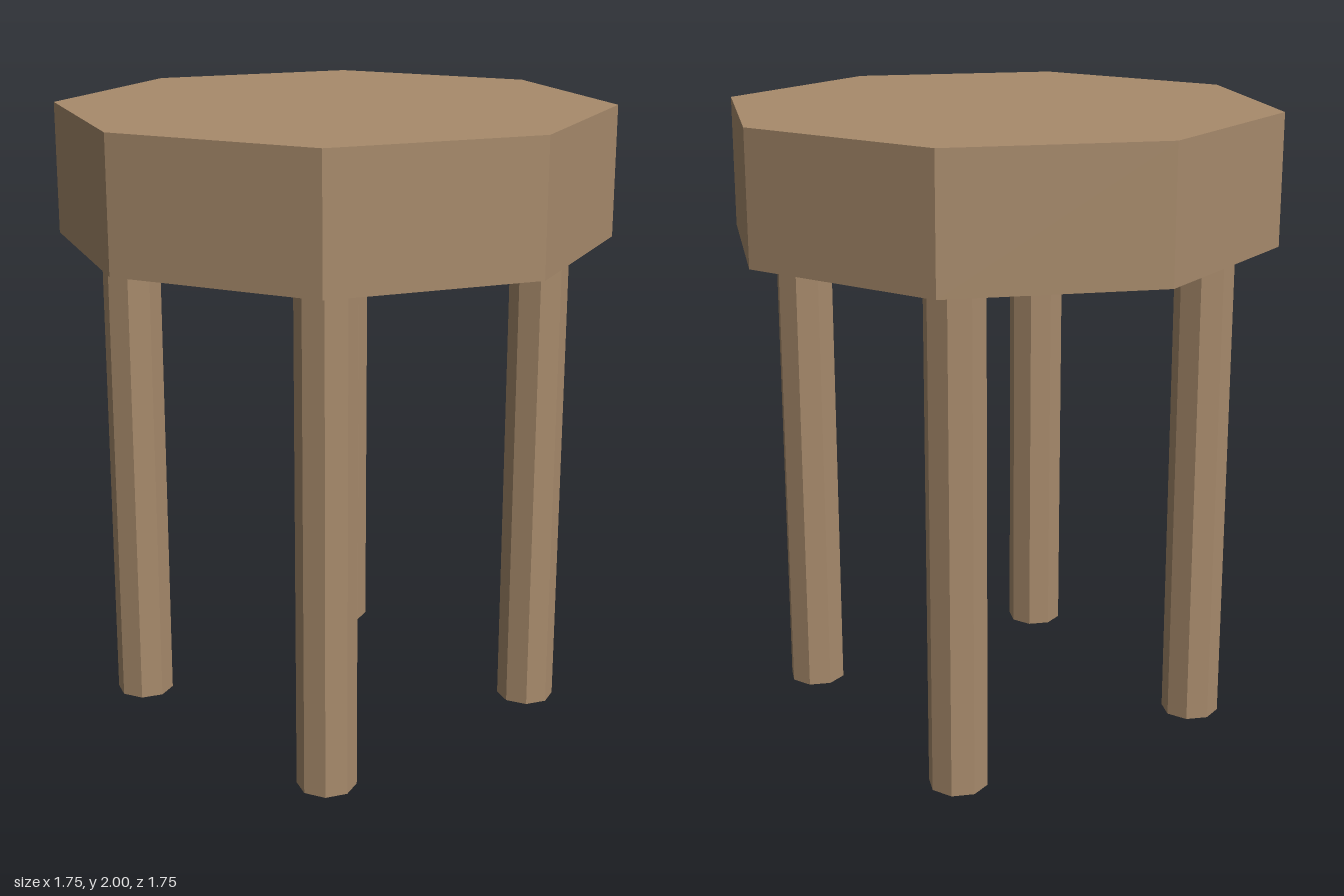
import * as THREE from 'three';

export function createModel() {
  const stool = new THREE.Group();
  stool.name = 'stool';
  const wood = new THREE.MeshStandardMaterial({ color: 0xa88b6c });
  wood.name = 'wood';
  wood.flatShading = true;

  // Upright eight-sided prism standing on the given base height
  function prism(name, radius, height, x, baseY, z) {
    const mesh = new THREE.Mesh(new THREE.CylinderGeometry(radius, radius, height, 8), wood);
    mesh.name = name;
    mesh.position.set(x, baseY + height / 2, z);
    stool.add(mesh);
  }

  const legHeight = 1.587;
  const legOffset = 0.46;

  // Thick octagonal seat
  prism('seat', 0.876, 2 - legHeight, 0, legHeight, 0);

  // Four straight legs
  for (const [side, sx] of [['Left', 1], ['Right', -1]]) {
    for (const [end, sz] of [['front', 1], ['back', -1]]) {
      prism(`${end}${side}Leg`, 0.093, legHeight, sx * legOffset, 0, sz * legOffset);
    }
  }

  return stool;
}
